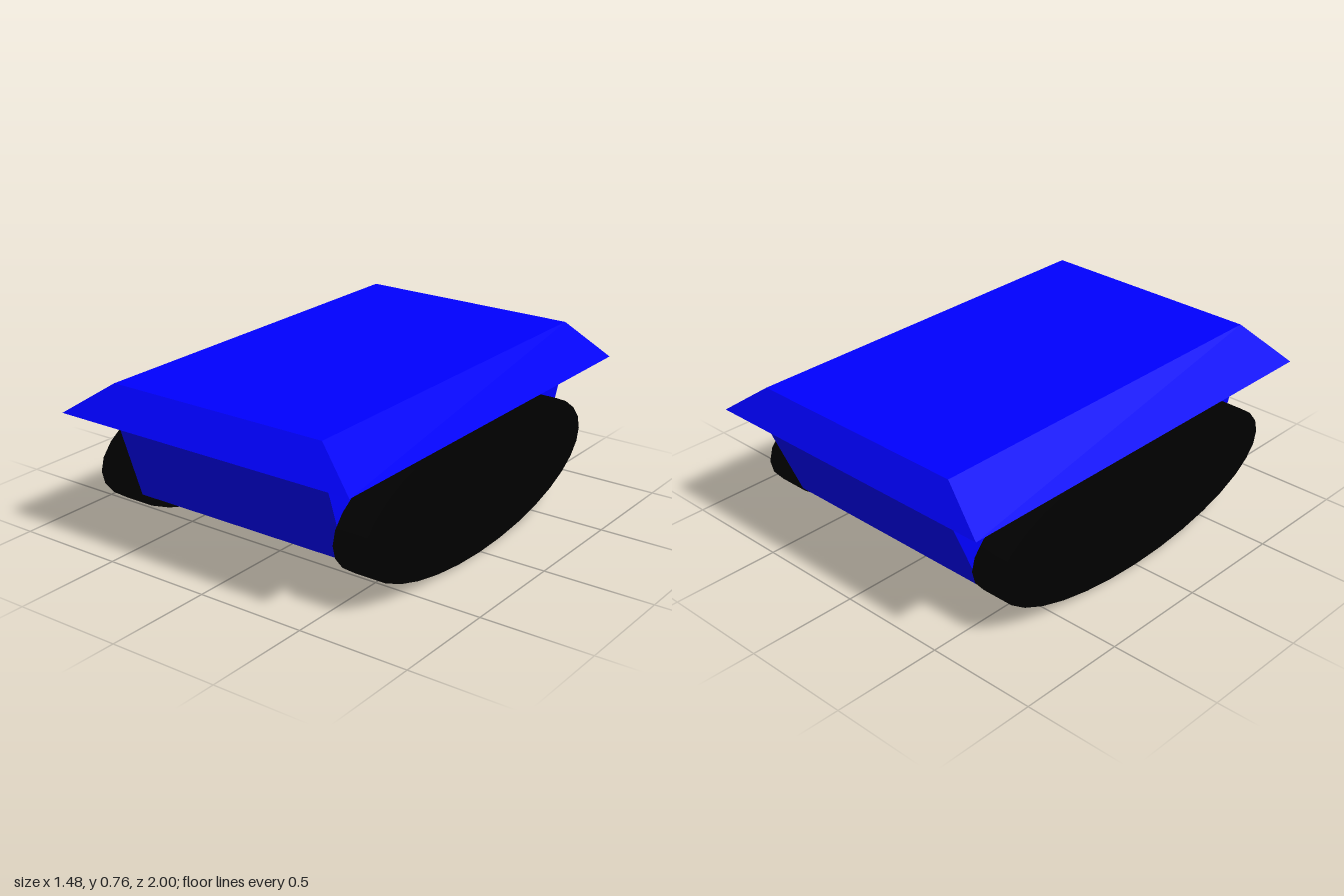
import * as THREE from 'three';

const blue = new THREE.MeshStandardMaterial({ color: 0x0000ff, flatShading: true });
const black = new THREE.MeshStandardMaterial({ color: 0x000000 });

// Box whose bottom and top rectangles are given as [xMin, xMax, zMin, zMax]
function taperedBox(name, y0, y1, bottom, top) {
  const geo = new THREE.BoxGeometry(1, 1, 1);
  const p = geo.attributes.position;
  for (let i = 0; i < p.count; i++) {
    const up = p.getY(i) > 0;
    const r = up ? top : bottom;
    p.setXYZ(i, p.getX(i) < 0 ? r[0] : r[1], up ? y1 : y0, p.getZ(i) < 0 ? r[2] : r[3]);
  }
  geo.computeVertexNormals();
  const mesh = new THREE.Mesh(geo, blue);
  mesh.name = name;
  return mesh;
}

export function createModel() {
  const model = new THREE.Group();
  model.name = 'trackedHull';

  // Overhanging deck with bevelled edges
  model.add(taperedBox('deck', 0.613, 0.76,
    [-0.738, 0.738, -1, 1], [-0.525, 0.54, -0.927, 0.902]));

  // Body, narrowing downward at front and back
  model.add(taperedBox('body', 0.21, 0.613,
    [-0.543, 0.54, -0.78, 0.757], [-0.543, 0.54, -0.955, 0.89]));

  // Oval tracks: flattened discs on either side
  for (const [name, x] of [['leftTrack', 0.615], ['rightTrack', -0.62]]) {
    const geo = new THREE.CylinderGeometry(1, 1, 0.15, 32);
    geo.rotateZ(Math.PI / 2);
    geo.scale(1, 0.307, 0.836);
    const track = new THREE.Mesh(geo, black);
    track.name = name;
    track.position.set(x, 0.307, 0.005);
    model.add(track);
  }
  return model;
}
